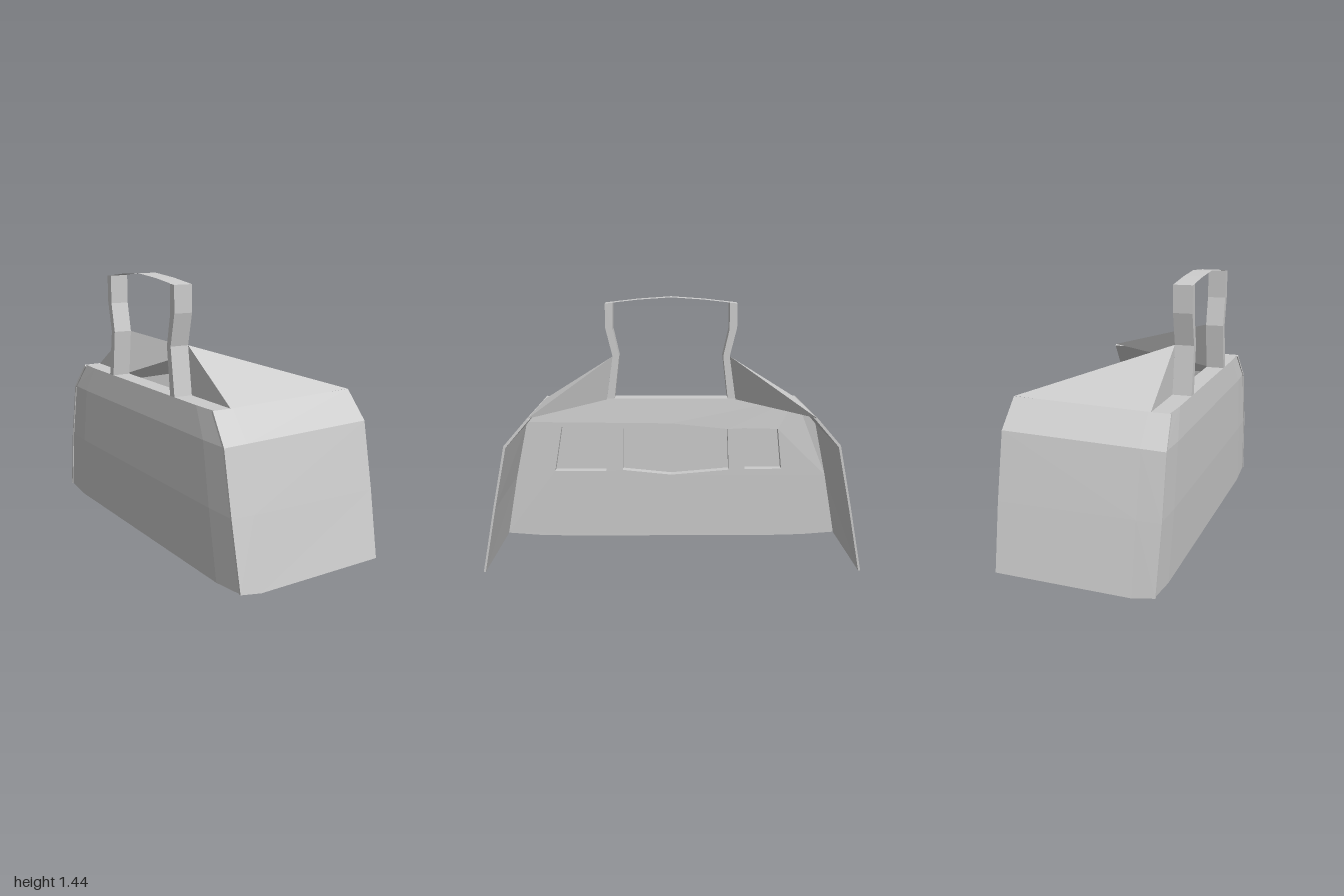
import * as THREE from 'three';

const material = new THREE.MeshStandardMaterial({ color: 0xcccccc, flatShading: true });
const sheetMaterial = new THREE.MeshStandardMaterial({ color: 0xcccccc, flatShading: true, side: THREE.DoubleSide });

function named(name, geometry, mat = material) {
  const mesh = new THREE.Mesh(geometry, mat);
  mesh.name = name;
  return mesh;
}

// Closed solid from triangles of points; turned outward if its volume is negative
function solid(triangles) {
  const volume = triangles.reduce((sum, [a, b, c]) => sum + a.dot(b.clone().cross(c)), 0);
  const points = triangles.flatMap(([a, b, c]) => (volume < 0 ? [a, c, b] : [a, b, c]));
  const geometry = new THREE.BufferGeometry().setFromPoints(points);
  geometry.computeVertexNormals();
  return geometry;
}

// Loft through rings; each ring runs along one side of a strip and back on the other
function loft(rings) {
  const triangles = [];
  const quad = (a, b, c, d) => triangles.push([a, b, c], [a, c, d]);
  const n = rings[0].length;
  for (let i = 0; i < rings.length - 1; i++) {
    for (let j = 0; j < n; j++) {
      const k = (j + 1) % n;
      quad(rings[i][j], rings[i][k], rings[i + 1][k], rings[i + 1][j]);
    }
  }
  const first = rings[0], last = rings[rings.length - 1];
  for (let j = 0; j < n / 2 - 1; j++) {
    quad(first[j], first[n - 1 - j], first[n - 2 - j], first[j + 1]);
    quad(last[j], last[j + 1], last[n - 2 - j], last[n - 1 - j]);
  }
  return solid(triangles);
}

// Extrude a (z, y) outline from x0 to x1
const toVectors = (points) => points.map(([z, y]) => new THREE.Vector2(z, y));
function extrudeX(outline, holes, x0, x1) {
  const shape = new THREE.Shape(toVectors(outline));
  holes.forEach((hole) => shape.holes.push(new THREE.Path(toVectors(hole))));
  const geometry = new THREE.ExtrudeGeometry(shape, { depth: x1 - x0, bevelEnabled: false });
  return geometry.rotateY(-Math.PI / 2).translate(x1, 0, 0);
}

// Inner skin of the wall with three recessed windows
function innerWall() {
  const half = [[0.6, 0], [0.8, 0.005], [0.99, 0.02], [0.925, 0.38], [0.858, 0.71], [0.74, 0.848]];
  const outline = [...half, ...half.map(([z, y]) => [-z, y]).reverse()];
  const windows = [
    [[0.65, 0.68], [0.375, 0.68], [0.39, 0.41], [0.695, 0.41]],
    [[0.285, 0.67], [0, 0.70], [-0.335, 0.665], [-0.345, 0.415], [0, 0.385], [0.29, 0.415]],
    [[-0.43, 0.67], [-0.635, 0.665], [-0.66, 0.42], [-0.44, 0.42]],
  ];
  const geometry = extrudeX(outline, windows, -0.34, -0.285);
  const p = geometry.attributes.position;
  for (let i = 0; i < p.count; i++) {
    if (p.getX(i) < -0.3) {
      if (p.getY(i) < 0.1) p.setY(i, p.getY(i) + 0.007);
    } else if (p.getY(i) > 0.8) p.setX(i, -0.3);
    else if (p.getY(i) < 0.1) p.setX(i, -0.29);
  }
  geometry.computeVertexNormals();
  return geometry;
}

// Slightly bowed outer skin, closing the windows from behind
function outerWall() {
  const rows = [[0.018, 0.99, -0.407], [0.38, 0.925, -0.418], [0.70, 0.858, -0.418], [0.848, 0.74, -0.4]];
  return loft(rows.map(([y, h, x], row) => {
    const zs = [-h, -0.8 * h, 0.8 * h, h];
    const lift = (z) => (row === 0 && Math.abs(z) > 0.9 ? 0.016 : 0);
    const outer = zs.map((z) => new THREE.Vector3(Math.abs(z) === h ? x + 0.008 : x, y + lift(z), z));
    const inner = zs.map((z) => new THREE.Vector3(-0.34, y + lift(z) - (row === 0 ? 0.01 : 0), z));
    return [...outer, ...inner.reverse()];
  }));
}

// Thin folded side wing; side is +1 or -1 along z
function wing(side) {
  const stations = [
    { x: [-0.405, -0.415, -0.415, -0.4], y: [0.035, 0.38, 0.70, 0.848] },
    { x: [-0.29, -0.29, -0.29, -0.29], y: [0.018, 0.38, 0.705, 0.85] },
    { x: [0.41, 0.416, 0.415, 0.405], y: [0.045, 0.39, 0.73, 0.872] },
  ];
  const zs = [1, 0.935, 0.868, 0.745];
  return loft(stations.map(({ x, y }) => {
    const outer = zs.map((z, j) => new THREE.Vector3(x[j], y[j], side * z));
    const inner = zs.map((z, j) => new THREE.Vector3(x[j], y[j] - (j > 1 ? 0.008 : 0), side * (z - 0.011)));
    return [...outer, ...inner.reverse()];
  }));
}

// Wedge brace rising from the wing top to the post
function brace(side) {
  const tip = new THREE.Vector3(0.405, 0.872, side * 0.742);
  const corner = new THREE.Vector3(-0.3, 0.846, side * 0.745);
  const peak = new THREE.Vector3(-0.3, 1.098, side * 0.343);
  const foot = new THREE.Vector3(-0.3, 0.842, side * 0.38);
  return solid([[tip, corner, peak], [tip, peak, foot], [tip, foot, corner], [corner, foot, peak]]);
}

// Kinked post of the roll hoop
function post(side) {
  const outline = [
    [0.38, 0.84], [0.343, 1.098], [0.384, 1.265], [0.384, 1.405],
    [0.34, 1.408], [0.34, 1.255], [0.305, 1.098], [0.335, 0.84],
  ];
  return extrudeX(outline.map(([z, y]) => [side * z, y]), [], -0.4, -0.3);
}

// Thin arched strip joining the posts
function hoopTop() {
  const geometry = new THREE.PlaneGeometry(0.1, 0.768, 1, 4).rotateX(-Math.PI / 2).translate(-0.35, 0, 0);
  const p = geometry.attributes.position;
  for (let i = 0; i < p.count; i++) p.setY(i, 1.44 - 0.035 * (Math.abs(p.getZ(i)) / 0.384) ** 1.4);
  geometry.computeVertexNormals();
  return geometry;
}

export function createModel() {
  const model = new THREE.Group();
  model.name = 'panelWithHoop';
  model.add(named('innerWall', innerWall()), named('outerWall', outerWall()));
  for (const [label, side] of [['front', 1], ['back', -1]]) {
    model.add(
      named(label + 'Wing', wing(side)),
      named(label + 'Brace', brace(side)),
      named(label + 'Post', post(side)),
    );
  }
  model.add(named('hoopTop', hoopTop(), sheetMaterial));
  return model;
}
